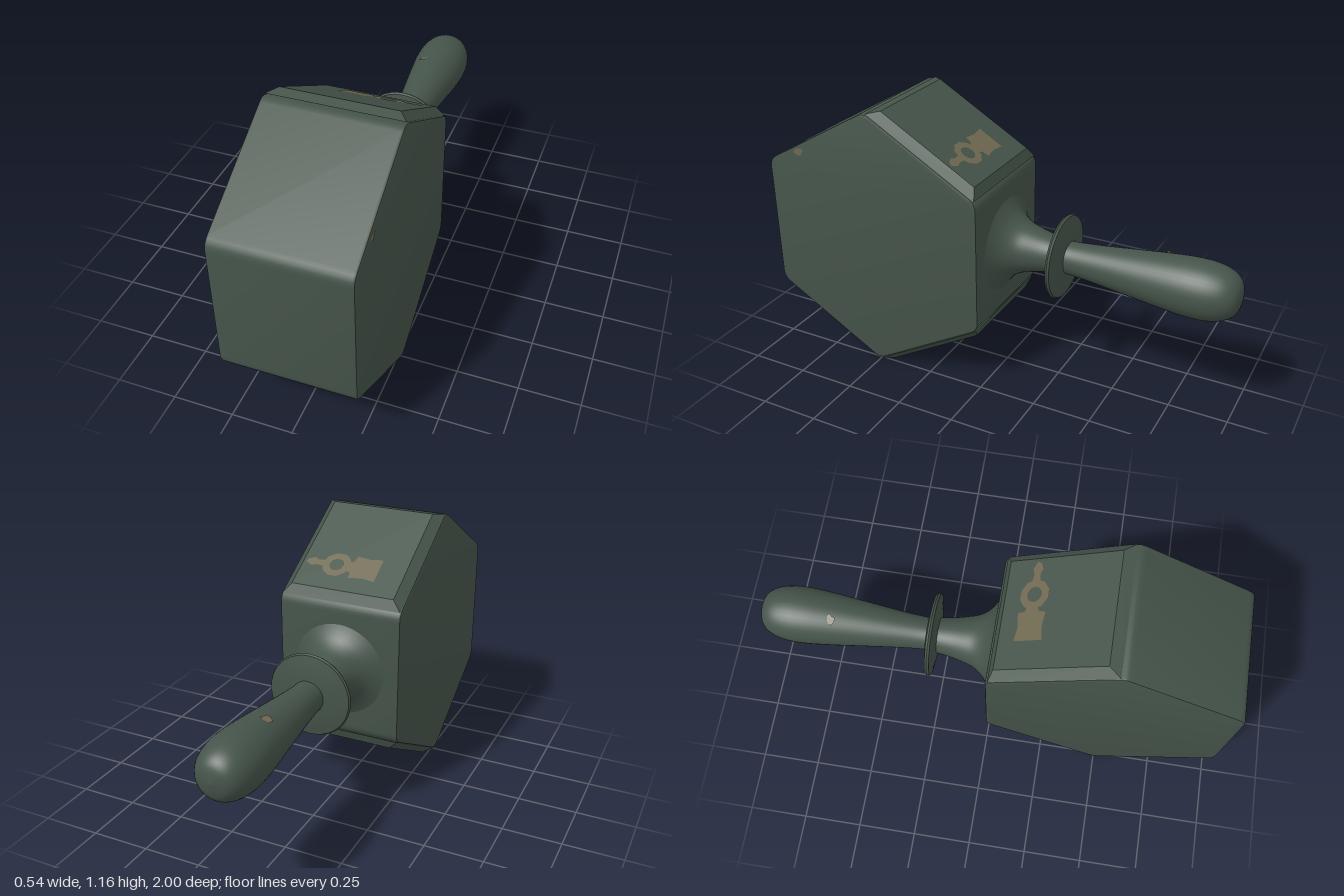
import * as THREE from 'three';
import { toCreasedNormals } from 'three/addons/utils/BufferGeometryUtils.js';

const CENTRE_Y = 0.5775, CENTRE_Z = 0.5, R = 0.5774;
const V = (x, y) => new THREE.Vector2(x, y);

const green = new THREE.MeshStandardMaterial({ color: 0x45544a });
green.name = 'dark grey green';
const tan = new THREE.MeshStandardMaterial({ color: 0x706850 });
tan.name = 'worn tan';

function add(parent, name, geometry, material = green) {
  const mesh = new THREE.Mesh(geometry, material);
  mesh.name = name;
  parent.add(mesh);
  return mesh;
}

// Hexagon with softly rounded corners, pointing up
function hexagonShape(radius, round) {
  const shape = new THREE.Shape();
  const corner = i => V(Math.sin(i * Math.PI / 3), Math.cos(i * Math.PI / 3)).multiplyScalar(radius);
  for (let i = 0; i < 6; i++) {
    const c = corner(i);
    const a = c.clone().lerp(corner(i - 1), round / radius);
    const b = c.clone().lerp(corner(i + 1), round / radius);
    if (i === 0) shape.moveTo(a.x, a.y); else shape.lineTo(a.x, a.y);
    shape.quadraticCurveTo(c.x, c.y, b.x, b.y);
  }
  shape.closePath();
  return shape;
}

// Box whose top face is drawn in to make sloping sides
function bevelledPlate(width, height, length, inset) {
  const g = new THREE.BoxGeometry(width, height, length);
  g.translate(0, height / 2, 0);
  const p = g.attributes.position;
  for (let i = 0; i < p.count; i++) {
    if (p.getY(i) < height / 2) continue;
    p.setX(i, p.getX(i) - Math.sign(p.getX(i)) * inset);
    p.setZ(i, p.getZ(i) - Math.sign(p.getZ(i)) * inset);
  }
  return toCreasedNormals(g, 0.2);
}

// Flat worn patch lying in the xz plane
const polygon = pts => new THREE.Shape(pts.map(([x, y]) => V(x, y)));
function ring(x, y, outer, inner) {
  const shape = new THREE.Shape();
  shape.absarc(x, y, outer, 0, Math.PI * 2);
  shape.holes.push(new THREE.Path().absarc(x, y, inner, 0, Math.PI * 2, true));
  return shape;
}
function patch(shapes) {
  return new THREE.ShapeGeometry(shapes, 5).rotateX(-Math.PI / 2);
}

// Raised panel on one of the two sloping faces next to the handle
function panel(name, angle, shapes, offset) {
  const group = new THREE.Group();
  group.name = name;
  group.rotation.x = angle;
  group.position.set(0, CENTRE_Y + 0.5 * Math.cos(angle), CENTRE_Z + 0.5 * Math.sin(angle));
  add(group, 'raisedPlate', bevelledPlate(0.53, 0.03, 0.555, 0.037));
  add(group, 'wornPatch', patch(shapes), tan).position.set(0, 0.032, offset);
  return group;
}

export function createModel() {
  const model = new THREE.Group();
  model.name = 'hexagonalBlockWithHandle';

  // Hexagonal block, extruded across x
  const bevel = 0.01;
  const block = new THREE.ExtrudeGeometry(hexagonShape(R, 0.035), {
    depth: 0.54 - 2 * bevel, bevelEnabled: true, bevelThickness: bevel,
    bevelSize: bevel, bevelOffset: -bevel, bevelSegments: 2, curveSegments: 5,
  });
  block.translate(0, 0, -0.27 + bevel).rotateY(-Math.PI / 2);
  const blockMesh = add(model, 'block', toCreasedNormals(block, 0.5));
  blockMesh.scale.z = -1 * -1;
  blockMesh.position.set(0, CENTRE_Y, CENTRE_Z);

  // Raised panels with worn patches
  const upperPatch = [
    polygon([[-0.115, -0.06], [-0.06, -0.052], [0, -0.06], [0.004, -0.03], [0.03, -0.02],
      [0.03, 0.025], [0.004, 0.03], [0, 0.06], [-0.06, 0.052], [-0.115, 0.06]]),
    ring(0.075, 0, 0.063, 0.032),
    polygon([[0.13, -0.016], [0.16, -0.012], [0.18, -0.022], [0.205, -0.012],
      [0.215, 0.005], [0.185, 0.022], [0.16, 0.014], [0.13, 0.018]]),
  ];
  const lowerPatch = [
    ring(0.11, 0, 0.06, 0.028),
    polygon([[0.16, -0.02], [0.2, -0.018], [0.2, 0.02], [0.16, 0.024]]),
    polygon([[0.06, -0.03], [0.02, -0.045], [-0.03, -0.015], [-0.06, -0.05], [-0.13, -0.055],
      [-0.19, -0.04], [-0.215, 0], [-0.19, 0.04], [-0.15, 0.02], [-0.1, 0.045],
      [-0.04, 0.06], [0.01, 0.045], [0.06, 0.03]]),
  ];
  model.add(panel('upperPanel', -Math.PI / 6, upperPatch, -0.11));
  model.add(panel('lowerPanel', Math.PI * 7 / 6, lowerPatch, 0.05));

  // Handle, collar flare and guard, turned about the z axis
  const handle = new THREE.Group();
  handle.name = 'handle';
  handle.position.y = CENTRE_Y;
  handle.rotation.x = -Math.PI / 2;
  model.add(handle);

  const turned = (pts, steps) => new THREE.LatheGeometry(
    new THREE.SplineCurve(pts.map(([r, h]) => V(r, h))).getPoints(steps).map(p => V(Math.max(p.x, 0), p.y)), 40);
  add(handle, 'flare', turned([[0.21, -0.004], [0.175, 0.014], [0.14, 0.04], [0.112, 0.08],
    [0.096, 0.13], [0.082, 0.19], [0.073, 0.26]], 24));
  add(handle, 'grip', turned([[0.068, 0.26], [0.07, 0.32], [0.079, 0.42], [0.095, 0.56], [0.111, 0.7],
    [0.119, 0.8], [0.116, 0.88], [0.098, 0.945], [0.062, 0.985], [0, 1]], 40));
  const guard = [[0.06, 0.238], [0.11, 0.241], [0.15, 0.249], [0.172, 0.252], [0.177, 0.261],
    [0.172, 0.27], [0.15, 0.274], [0.11, 0.282], [0.06, 0.286]];
  add(handle, 'guard', toCreasedNormals(new THREE.LatheGeometry(guard.map(([r, h]) => V(r, h)), 40), 0.6));

  // Small chips on the grip and block edge
  const chip = [[-0.024, -0.004], [-0.008, -0.016], [0.01, -0.018], [0.016, -0.003], [0.026, 0.006],
    [0.014, 0.016], [-0.014, 0.012]];
  const gripChip = add(model, 'gripChip', patch(polygon(chip)), tan);
  gripChip.position.set(-0.043, CENTRE_Y + 0.105, -0.68);
  gripChip.rotation.set(-0.11, 0, 0.4);
  const edgeChip = add(model, 'edgeChip', new THREE.ShapeGeometry(polygon(chip)), tan);
  edgeChip.rotation.set(0, Math.PI / 2, 0);
  edgeChip.position.set(0.2715, 0.928, 0.84);

  return model;
}
